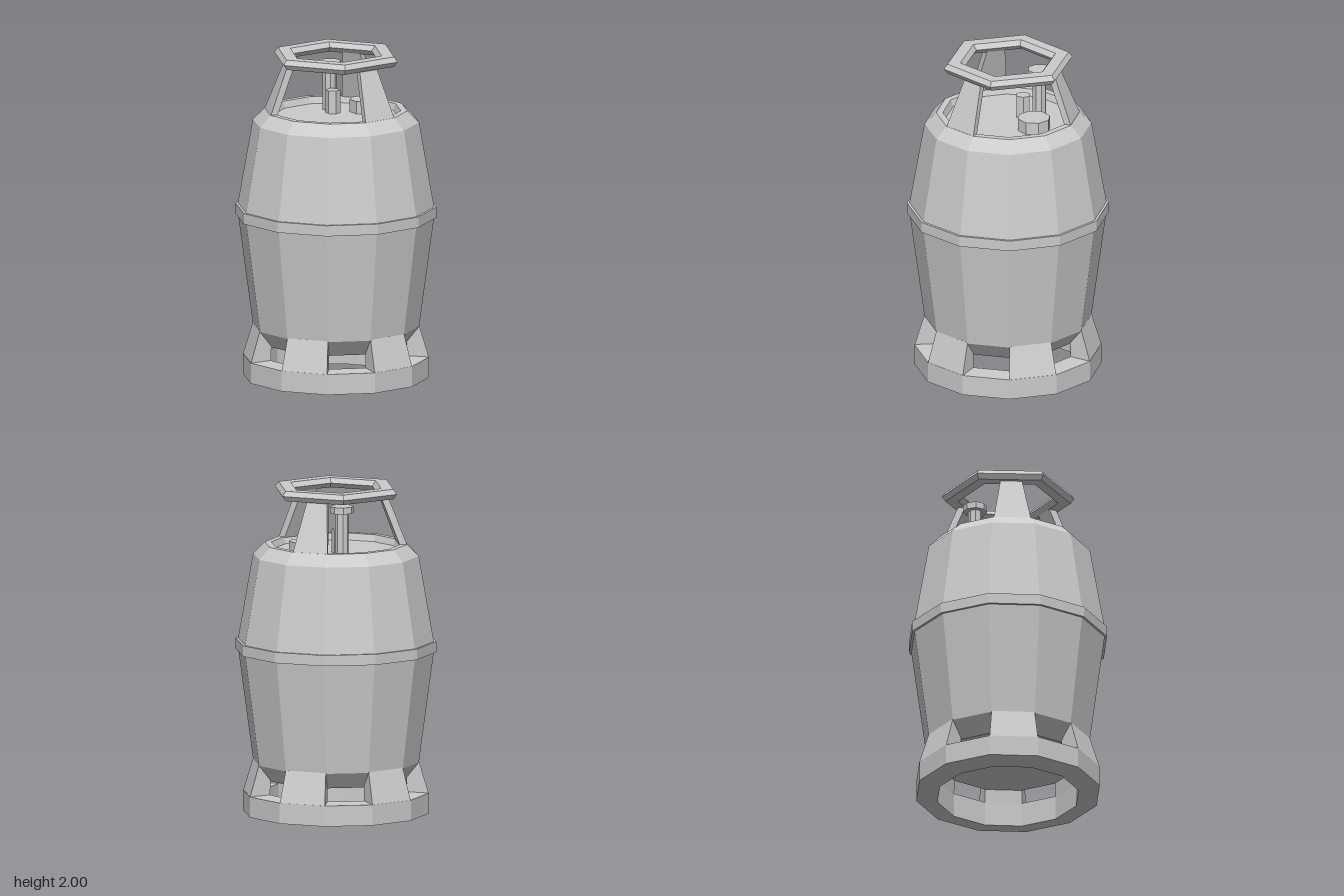
import * as THREE from 'three';

const mat = new THREE.MeshStandardMaterial({ color: 0xcccccc, flatShading: true });
const rad = THREE.MathUtils.degToRad;

function add(group, name, geometry, x = 0, y = 0, z = 0) {
  const mesh = new THREE.Mesh(geometry, mat);
  mesh.name = name;
  mesh.position.set(x, y, z);
  group.add(mesh);
  return mesh;
}

// Faceted solid of revolution; profile runs up the outside
function turned(profile, sides, phase = 0) {
  return new THREE.LatheGeometry(profile.map(([r, y]) => new THREE.Vector2(r, y)), sides, rad(phase));
}

// Six-sided block between two angular levels: { y, inner, outer, from, to }
function wedge(low, high) {
  const pos = [];
  for (const l of [low, high]) {
    for (const [r, a] of [[l.outer, l.from], [l.outer, l.to], [l.inner, l.to], [l.inner, l.from]]) {
      pos.push(r * Math.sin(rad(a)), l.y, r * Math.cos(rad(a)));
    }
  }
  const index = [0, 3, 2, 0, 2, 1, 4, 5, 6, 4, 6, 7];
  for (let i = 0; i < 4; i++) {
    const j = (i + 1) % 4;
    index.push(i, j, j + 4, i, j + 4, i + 4);
  }
  const g = new THREE.BufferGeometry();
  g.setAttribute('position', new THREE.Float32BufferAttribute(pos, 3));
  g.setIndex(index);
  g.computeVertexNormals();
  return g;
}

function post(group, name, r, y0, y1, sides, x, z) {
  add(group, name, new THREE.CylinderGeometry(r, r, y1 - y0, sides), x, (y0 + y1) / 2, z);
}

export function createModel() {
  const model = new THREE.Group();
  model.name = 'gasBottle';

  // Tank with a weld band and a shallow recess in the top
  add(model, 'tank', turned([
    [0, 0.23], [0.42, 0.23], [0.5, 0.33], [0.59, 1.0], [0.605, 1.0], [0.605, 1.065],
    [0.59, 1.065], [0.5, 1.58], [0.43, 1.65], [0.39, 1.65], [0.375, 1.61], [0, 1.61],
  ], 12));

  // Foot ring
  add(model, 'footRing', turned([
    [0.43, 0], [0.56, 0.02], [0.56, 0.145], [0.43, 0.15], [0.43, 0],
  ], 12));

  // Six feet, one on every other facet
  for (let i = 0; i < 6; i++) {
    const from = i * 60, to = from + 30;
    add(model, 'foot', wedge(
      { y: 0.14, inner: 0.43, outer: 0.56, from, to },
      { y: 0.335, inner: 0.42, outer: 0.501, from, to },
    ));
  }

  // Three leaning struts carrying the hexagonal handle
  for (const a of [-45, 75, 195]) {
    add(model, 'handleStrut', wedge(
      { y: 1.645, inner: 0.385, outer: 0.43, from: a - 15, to: a + 15 },
      { y: 1.955, inner: 0.26, outer: 0.305, from: a - 12, to: a + 12 },
    ));
  }
  add(model, 'handleRing', turned([
    [0.3, 1.94], [0.375, 1.94], [0.398, 1.97], [0.375, 2], [0.295, 2], [0.27, 1.97], [0.3, 1.94],
  ], 6, 43.5));

  // Valve and fittings on the recessed top
  post(model, 'valveStem', 0.042, 1.6, 1.88, 8, -0.145, -0.135);
  post(model, 'valveKnob', 0.072, 1.865, 1.905, 8, -0.145, -0.135);
  post(model, 'outletStub', 0.045, 1.6, 1.75, 6, -0.07, -0.065);
  post(model, 'pressureCap', 0.1, 1.6, 1.685, 8, 0.068, -0.215);

  return model;
}
